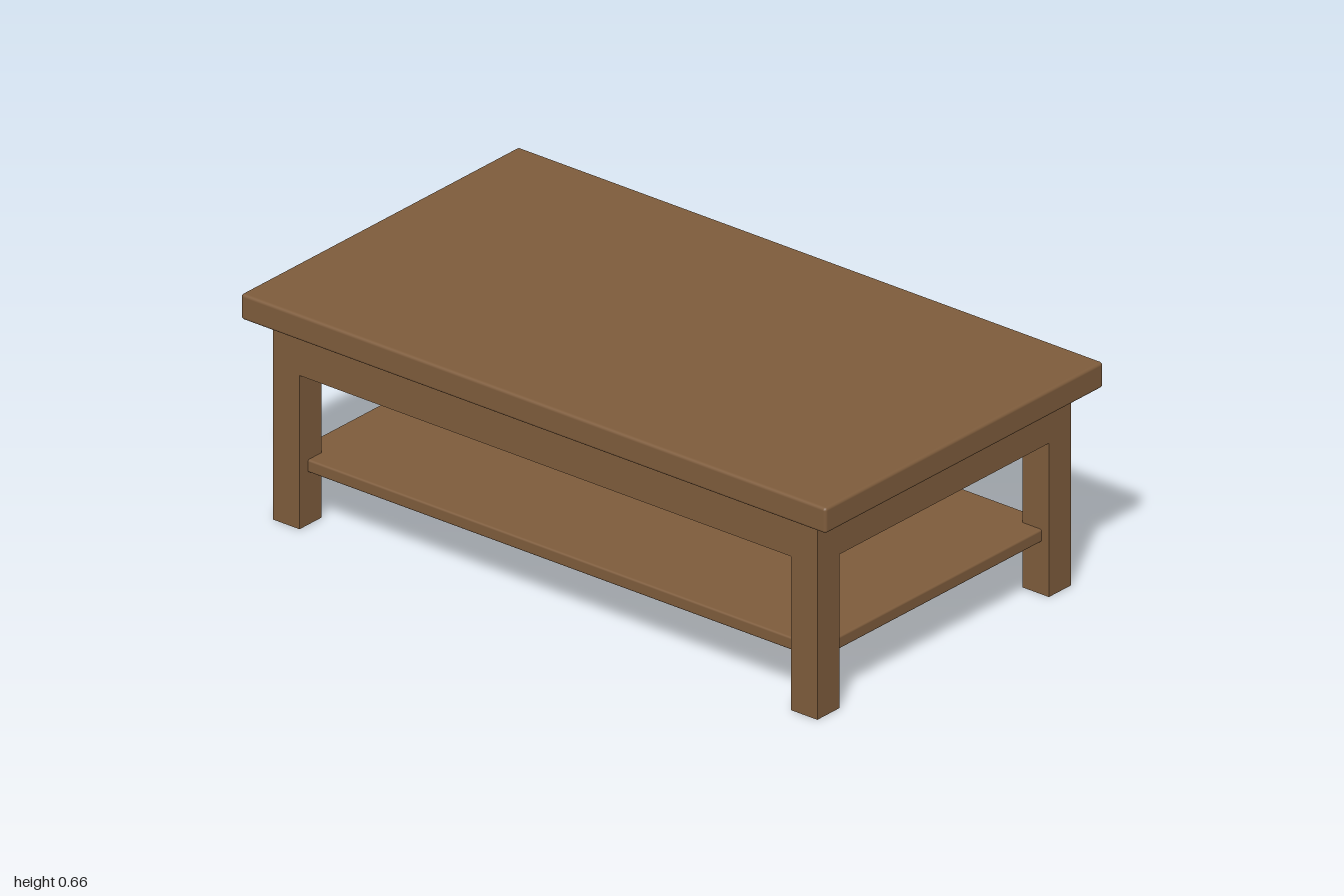
import * as THREE from 'three';
import { RoundedBoxGeometry } from 'three/addons/geometries/RoundedBoxGeometry.js';

const LEG = 0.09;                    // leg thickness
const LEG_X = 0.885, LEG_Z = 0.475;  // leg centres
const TOP_Y = 0.583;                 // underside of the table top

export function createModel() {
  const table = new THREE.Group();
  table.name = 'coffeeTable';

  const wood = new THREE.MeshStandardMaterial({ color: 0x7e5c3c });
  wood.name = 'brown wood';

  function add(name, geometry, x, y, z) {
    const mesh = new THREE.Mesh(geometry, wood);
    mesh.name = name;
    mesh.position.set(x, y, z);
    table.add(mesh);
  }

  // Slabs with softened edges
  add('tableTop', new RoundedBoxGeometry(2, 0.075, 1.14, 2, 0.009), 0, TOP_Y + 0.0375, 0);
  add('lowerShelf', new RoundedBoxGeometry(1.81, 0.037, 0.97, 2, 0.006), 0, 0.1715, 0);

  // Four square legs
  const legGeometry = new THREE.BoxGeometry(LEG, TOP_Y, LEG);
  for (const [side, sx] of [['Left', 1], ['Right', -1]]) {
    for (const [end, sz] of [['front', 1], ['back', -1]]) {
      add(`${end}${side}Leg`, legGeometry, sx * LEG_X, TOP_Y / 2, sz * LEG_Z);
    }
  }

  // Aprons between the legs, flush with their outer faces, just below the top
  const thickness = 0.045, height = 0.12, y = 0.51;
  const inset = (LEG - thickness) / 2;
  const longApron = new THREE.BoxGeometry(2 * LEG_X - LEG, height, thickness);
  const shortApron = new THREE.BoxGeometry(thickness, height, 2 * LEG_Z - LEG);
  for (const s of [1, -1]) {
    add(s > 0 ? 'frontApron' : 'backApron', longApron, 0, y, s * (LEG_Z + inset));
    add(s > 0 ? 'leftApron' : 'rightApron', shortApron, s * (LEG_X + inset), y, 0);
  }

  return table;
}
